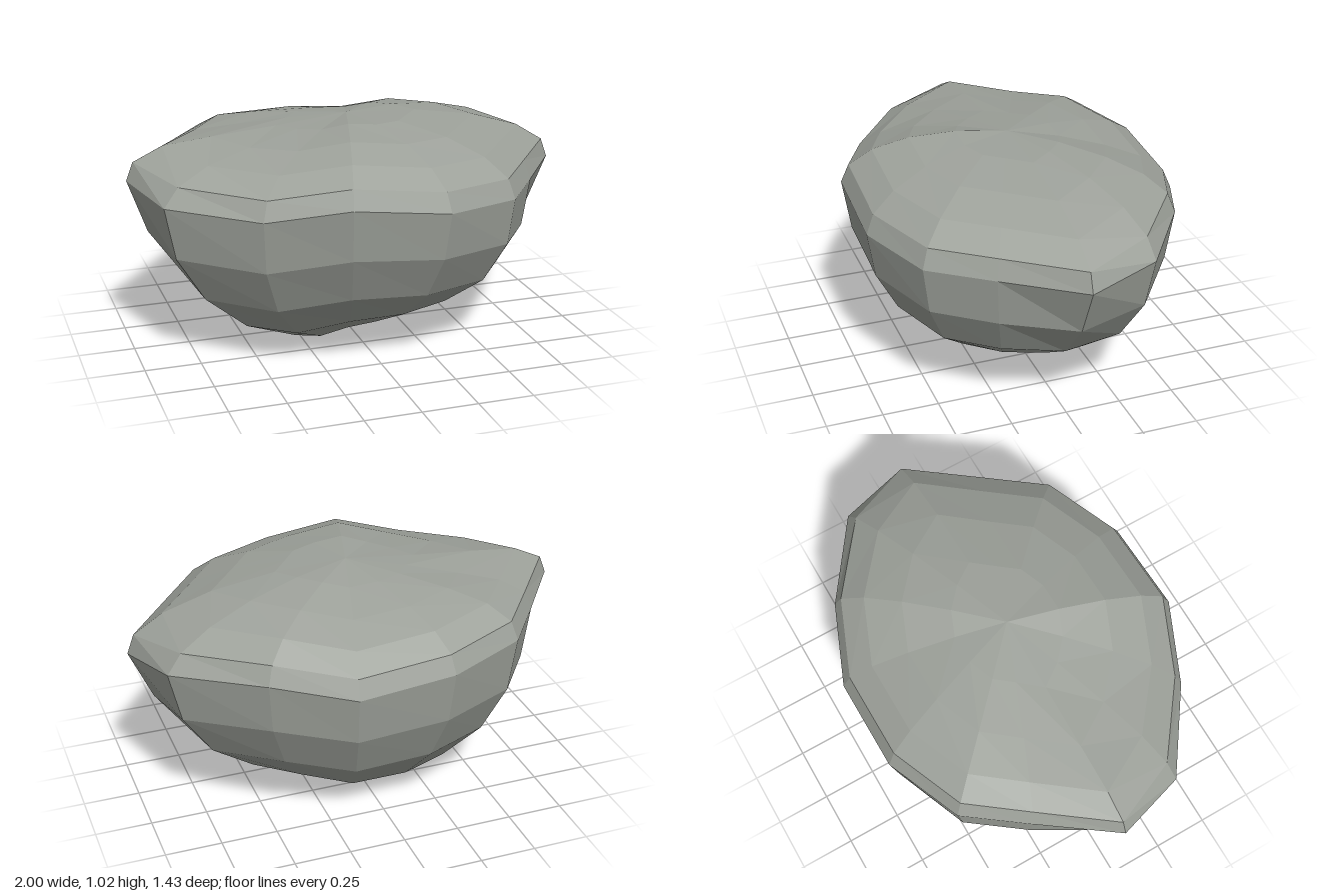
import * as THREE from 'three';

const SIDES = 14;
const RINGS = 10;
const DEPTH = 0.735;
// x of each corner around the boulder: towards the crown, at the widest outline, towards the base
const CROWN_X = [1.06, 0.8, 0.6, 0.23, -0.2, -0.55, -0.83, -1.06, -0.8, -0.6, -0.23, 0.2, 0.55, 0.83];
const RIM_X = [1, 0.77, 0.58, 0.23, -0.2, -0.54, -0.9, -1, -0.77, -0.58, -0.23, 0.2, 0.54, 0.9];
const BASE_X = [0.82, 0.8, 0.62, 0.22, -0.2, -0.58, -0.89, -0.88, -0.8, -0.6, -0.23, 0.2, 0.56, 0.86];
// Height of the widest outline at each corner
const RIM_Y = [0.73, 0.73, 0.73, 0.745, 0.8, 0.74, 0.76, 0.8, 0.805, 0.8, 0.78, 0.74, 0.785, 0.77];

const bump = (x, z, cx, cz, r) => Math.exp(-((x - cx) ** 2 + (z - cz) ** 2) / (r * r));

// Point on the boulder: ring 0 is the top, ring RINGS the bottom
function rockPoint(ring, side) {
  const k = side % SIDES;
  const phi = (ring / RINGS) * Math.PI;
  const radius = Math.sin(phi);
  const rise = Math.cos(phi);
  const low = ring > RINGS / 2;
  const outline = THREE.MathUtils.lerp(RIM_X[k], (low ? BASE_X : CROWN_X)[k], Math.abs(rise));
  const x = outline * radius;
  const z = Math.sin((k / SIDES) * Math.PI * 2) * DEPTH * radius;
  let y = 0.765 + (RIM_Y[k] - 0.765) * radius;
  if (low) {
    // deep rounded underside, hollowed at the front left and sagging at the back right
    y += rise * 0.755 + 0.075 * bump(x, z, 0.25, 0.25, 0.38) - 0.06 * bump(x, z, -0.3, -0.2, 0.45);
  } else {
    // shallow crown with a soft dent, sloping off at the back
    y += rise * 0.275 - 0.055 * bump(x, z, -0.47, -0.05, 0.32) - 0.035 * bump(x, z, 0, -0.45, 0.4);
  }
  return new THREE.Vector3(x, y, z);
}

function rockGeometry() {
  const points = [];
  for (let r = 0; r < RINGS; r++) {
    for (let s = 0; s < SIDES; s++) {
      const a = rockPoint(r, s), b = rockPoint(r, s + 1);
      const c = rockPoint(r + 1, s), d = rockPoint(r + 1, s + 1);
      if (r < RINGS - 1) points.push(b, d, c);
      if (r > 0) points.push(a, b, c);
    }
  }
  const geometry = new THREE.BufferGeometry().setFromPoints(points);
  geometry.computeVertexNormals();
  // rest the underside on the ground
  geometry.computeBoundingBox();
  geometry.translate(0, -geometry.boundingBox.min.y, 0);
  return geometry;
}

export function createModel() {
  const group = new THREE.Group();
  group.name = 'rock';
  const stone = new THREE.MeshStandardMaterial({ color: 0x9da19a, flatShading: true });
  stone.name = 'grey stone';
  const boulder = new THREE.Mesh(rockGeometry(), stone);
  boulder.name = 'boulder';
  group.add(boulder);
  return group;
}
